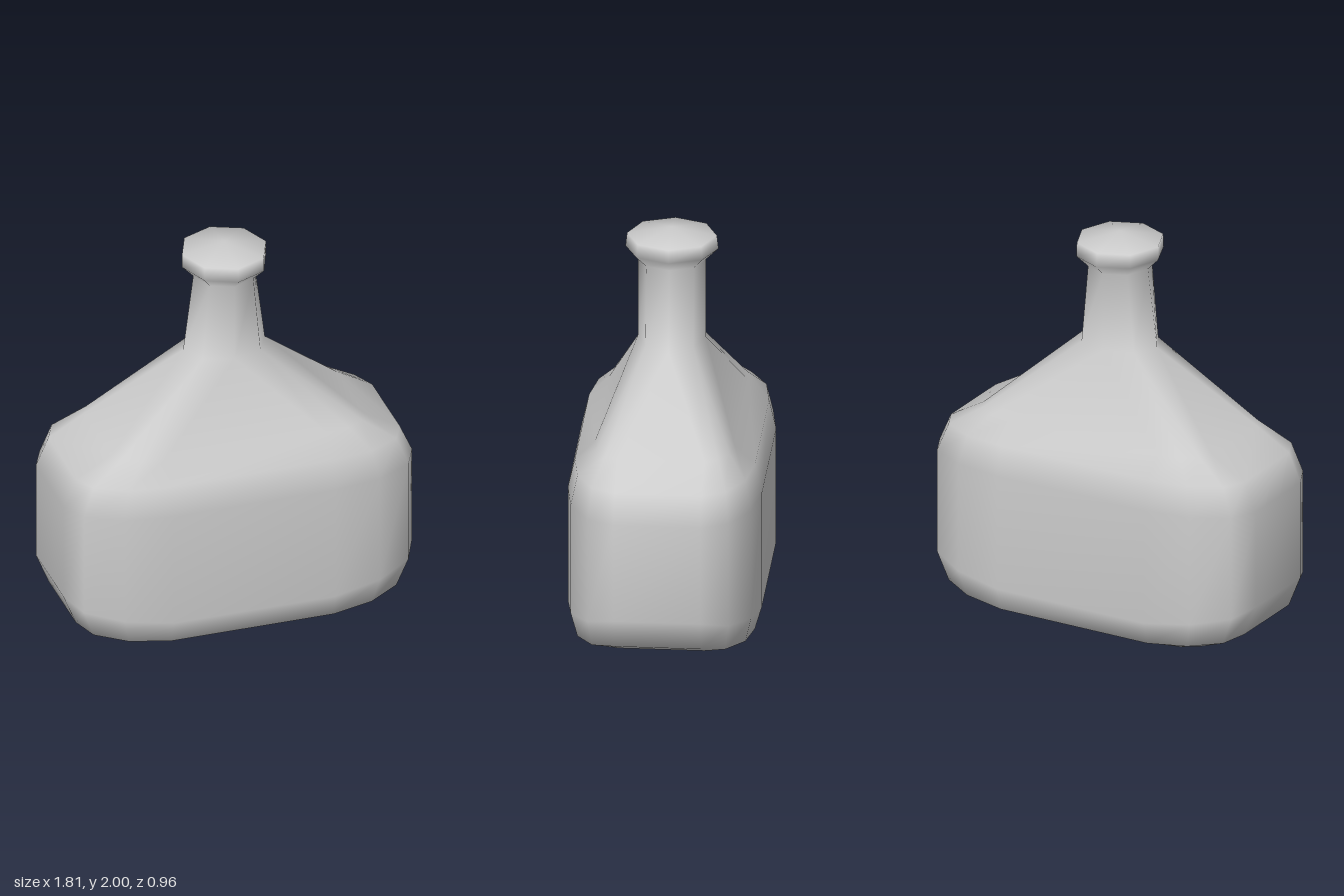
import * as THREE from 'three';
import { mergeVertices } from 'three/addons/utils/BufferGeometryUtils.js';

// Flat core of the body; its corners are rounded outwards from here
const CORE_X = 0.42, CORE_Z = 0.215;

// Repeats a quadrant (side to front) around all four quadrants, 16 points in order
function mirrorQuadrant(q) {
  const flip = (pts, sx, sz) => pts.map(([x, y, z]) => [x * sx, y, z * sz]);
  const r = [...q].reverse();
  return [...q, ...flip(r, -1, 1), ...flip(q, -1, -1), ...flip(r, 1, -1)];
}

// Rounded rectangle; height runs from ySide at the ends to yFront on the broad faces
function bodyRing(X, Z, ySide, yFront) {
  const blend = [[1, 0], [0.87, 0.5], [0.5, 0.87], [0, 1]];
  return mirrorQuadrant(blend.map(([u, v], i) => [
    CORE_X + (X - CORE_X) * u,
    THREE.MathUtils.lerp(ySide, yFront, i / 3),
    CORE_Z + (Z - CORE_Z) * v,
  ]));
}

// Octagon with doubled corners, so that it joins the 16-point body rings
function neckRing(rx, rz, y) {
  const d = Math.SQRT1_2;
  return mirrorQuadrant([[rx, y, 0], [rx * d, y, rz * d], [rx * d, y, rz * d], [0, y, rz]]);
}

// Skins the rings from bottom to top with one smooth surface
function loft(rings) {
  const n = rings[0].length, index = [];
  const points = rings.flat();
  const same = (a, b) => points[a].every((v, k) => Math.abs(v - points[b][k]) < 1e-5);
  const tri = (a, b, c) => {
    if (!same(a, b) && !same(b, c) && !same(a, c)) index.push(a, b, c);
  };
  for (let r = 0; r < rings.length - 1; r++) {
    for (let i = 0; i < n; i++) {
      const a = r * n + i, b = r * n + (i + 1) % n;
      tri(a, a + n, b);
      tri(b, a + n, b + n);
    }
  }
  const geo = new THREE.BufferGeometry();
  geo.setAttribute('position', new THREE.Float32BufferAttribute(points.flat(), 3));
  geo.setIndex(index);
  const merged = mergeVertices(geo, 1e-4);
  merged.computeVertexNormals();
  return merged;
}

export function createModel() {
  const group = new THREE.Group();
  group.name = 'bottle';

  const rings = [
    // Base
    neckRing(0, 0, 0),
    bodyRing(CORE_X, CORE_Z, 0, 0),
    bodyRing(0.66, 0.345, 0.018, 0.005),
    bodyRing(0.84, 0.445, 0.1, 0.045),
    // Straight walls
    bodyRing(0.905, 0.48, 0.26, 0.165),
    bodyRing(0.905, 0.48, 0.77, 0.77),
    // Shoulder
    bodyRing(0.84, 0.445, 0.915, 0.92),
    bodyRing(0.655, 0.345, 1.02, 1.02),
    // Neck
    neckRing(0.212, 0.167, 1.42),
    neckRing(0.16, 0.167, 1.83),
    // Lip and low pointed stopper
    neckRing(0.218, 0.23, 1.89),
    neckRing(0.218, 0.222, 1.96),
    neckRing(0, 0, 2),
  ];

  const bottle = new THREE.Mesh(
    loft(rings),
    new THREE.MeshStandardMaterial({ color: 0xcccccc })
  );
  bottle.name = 'bottleBody';
  group.add(bottle);
  return group;
}
